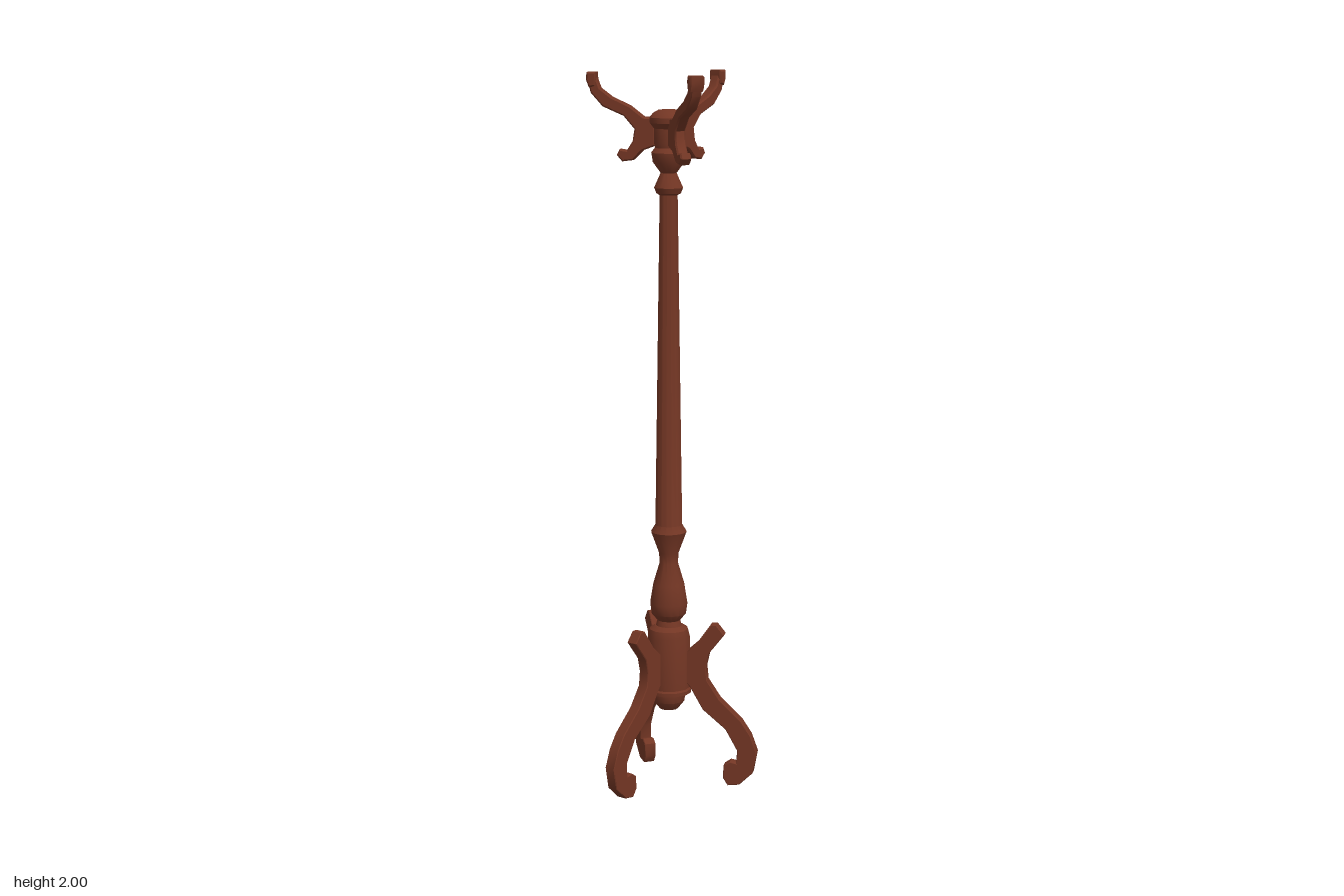
import * as THREE from 'three';
import { toCreasedNormals } from 'three/addons/utils/BufferGeometryUtils.js';

const wood = new THREE.MeshStandardMaterial({ color: 0x733624 });
wood.name = 'reddish brown wood';

// Turned part from [radius, height] pairs, bottom to top
function turned(name, profile, sides) {
  const geo = new THREE.LatheGeometry(profile.map(([r, y]) => new THREE.Vector2(r, y)), sides);
  const mesh = new THREE.Mesh(toCreasedNormals(geo, 0.6), wood);
  mesh.name = name;
  return mesh;
}

// Sawn bracket: side outline in [radius, height], given a thickness
function bracket(outline, width, bevel) {
  const shape = new THREE.Shape(outline.map(([r, y]) => new THREE.Vector2(r, y)));
  const geo = new THREE.ExtrudeGeometry(shape, {
    depth: width - 2 * bevel, bevelEnabled: bevel > 0, bevelSize: bevel,
    bevelThickness: bevel, bevelOffset: -bevel, bevelSegments: 1,
  });
  geo.translate(0, 0, -width / 2 + bevel);
  return toCreasedNormals(geo, 0.75);
}

export function createModel() {
  const model = new THREE.Group();
  model.name = 'coatStand';
  const stand = new THREE.Group();
  stand.name = 'stand';
  stand.position.set(-0.017, 0, -0.006);
  model.add(stand);

  // Hub that carries the legs, with a rounded drop below
  stand.add(turned('legHub', [
    [0, 0.21], [0.026, 0.216], [0.045, 0.24], [0.047, 0.262], [0.064, 0.265],
    [0.064, 0.275], [0.06, 0.28], [0.06, 0.43], [0.055, 0.45], [0.04, 0.46], [0, 0.46],
  ], 12));

  // Turned pole with a vase at the foot and a collar at the top
  stand.add(turned('pole', [
    [0.038, 0.455], [0.032, 0.475], [0.049, 0.495], [0.053, 0.525], [0.044, 0.58],
    [0.026, 0.64], [0.028, 0.67], [0.05, 0.73], [0.038, 0.75], [0.025, 1.67],
    [0.034, 1.675], [0.04, 1.69], [0.022, 1.73], [0.044, 1.76], [0.048, 1.785], [0.036, 1.8],
  ], 16));

  // Hub that carries the hooks, with a domed cap
  stand.add(turned('hookHub', [
    [0.036, 1.79], [0.04, 1.81], [0.04, 1.85], [0.052, 1.865], [0.053, 1.88],
    [0.042, 1.892], [0.028, 1.9], [0, 1.902],
  ], 16));

  // Three scrolled legs
  const legGeo = bracket([
    [0.16, 0.44], [0.117, 0.385], [0.108, 0.345], [0.112, 0.305], [0.148, 0.25],
    [0.21, 0.19], [0.236, 0.15], [0.254, 0.1], [0.243, 0.04], [0.205, 0.004],
    [0.172, 0], [0.158, 0.022], [0.16, 0.058], [0.178, 0.07], [0.197, 0.066],
    [0.198, 0.105], [0.165, 0.165], [0.1, 0.22], [0.066, 0.28], [0.052, 0.3],
    [0.052, 0.385], [0.085, 0.415], [0.122, 0.468], [0.138, 0.468],
  ], 0.033, 0.002);

  // Three hooks: a long upper arm with a small curl beneath
  const hookGeo = bracket([
    [0.222, 1.99], [0.213, 1.945], [0.18, 1.908], [0.122, 1.883], [0.092, 1.848],
    [0.097, 1.815], [0.113, 1.79], [0.133, 1.793], [0.141, 1.777], [0.126, 1.76],
    [0.095, 1.764], [0.07, 1.79], [0.035, 1.803], [0.035, 1.86], [0.05, 1.88],
    [0.066, 1.88], [0.105, 1.91], [0.155, 1.933], [0.187, 1.957], [0.199, 1.99],
  ], 0.031, 0.004);
  const tipGeo = bracket([
    [0.223, 2], [0.224, 1.978], [0.216, 1.958], [0.2, 1.963], [0.197, 1.982], [0.198, 2],
  ], 0.041, 0.004);

  for (let i = 0; i < 3; i++) {
    const turn = (i * Math.PI * 2) / 3;
    const leg = new THREE.Mesh(legGeo, wood);
    leg.name = 'leg' + (i + 1);
    leg.rotation.y = turn;
    const hook = new THREE.Group();
    hook.name = 'hook' + (i + 1);
    hook.rotation.y = turn + Math.PI;
    const arm = new THREE.Mesh(hookGeo, wood);
    arm.name = 'hookArm';
    const tip = new THREE.Mesh(tipGeo, wood);
    tip.name = 'hookTip';
    hook.add(arm, tip);
    stand.add(leg, hook);
  }
  return model;
}
